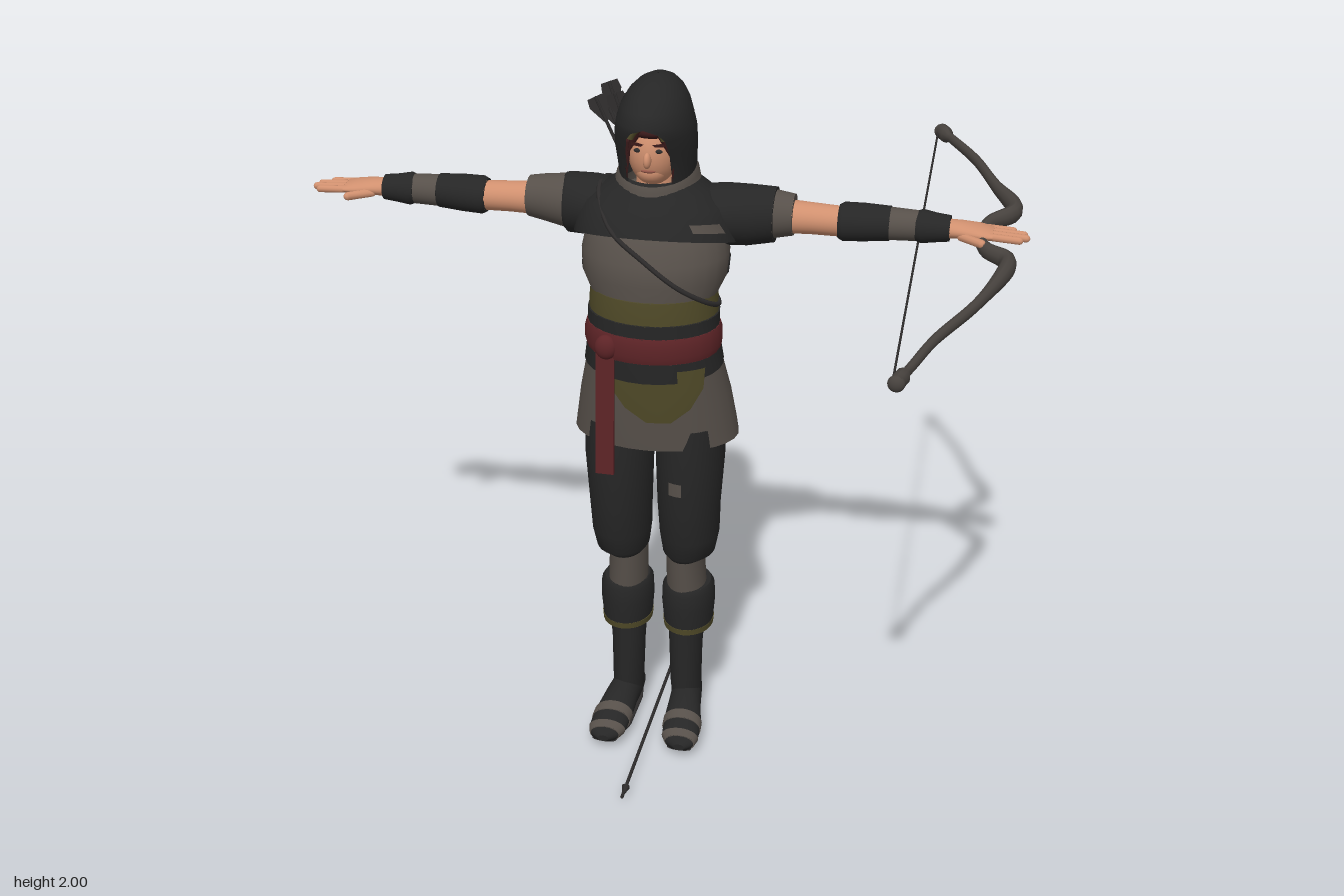
import * as THREE from 'three';
import { mergeVertices } from 'three/addons/utils/BufferGeometryUtils.js';

const mat = (name, color) => {
  const m = new THREE.MeshStandardMaterial({ color, side: THREE.DoubleSide });
  m.name = name;
  return m;
};

// Rings [y, cx, cz, rx, rz, tilt, a0, a1] joined into a skin; angle 0 faces +z.
function loft(rows, cap = true, n = 28) {
  const rings = [...rows].sort((a, b) => a[0] - b[0]);
  const pos = [], idx = [], w = n + 1;
  for (const [y, cx, cz, rx, rz, tilt = 0, a0 = 0, a1 = Math.PI * 2] of rings)
    for (let j = 0; j <= n; j++) {
      const a = a0 + (a1 - a0) * j / n, dz = rz * Math.cos(a);
      pos.push(cx + rx * Math.sin(a), y + tilt * dz, cz + dz);
    }
  for (let i = 0; i < rings.length - 1; i++)
    for (let j = 0; j < n; j++) {
      const a = i * w + j, c = a + w;
      idx.push(a, a + 1, c, a + 1, c + 1, c);
    }
  if (cap) [0, rings.length - 1].forEach((r, top) => {
    const [y, cx, cz] = rings[r], c = pos.length / 3;
    // lift the centre a hair so that the cap keeps its own rim
    pos.push(cx, y, cz);
    for (let j = 0; j <= n; j++) {
      const k = (r * w + j) * 3;
      pos.push(pos[k], pos[k + 1] + (top ? 2e-4 : -2e-4), pos[k + 2]);
    }
    for (let j = 1; j <= n; j++) top ? idx.push(c, c + j, c + j + 1) : idx.push(c, c + j + 1, c + j);
  });
  let g = new THREE.BufferGeometry();
  g.setAttribute('position', new THREE.Float32BufferAttribute(pos, 3));
  g.setIndex(idx);
  g = mergeVertices(g, 1e-5);
  g.computeVertexNormals();
  return g;
}

// Skin along x from rows [x, cy, cz, ry, rz]
const armLoft = rows => loft(rows.map(([x, cy, cz, ry, rz]) => [x, -cy, cz, ry, rz])).rotateZ(-Math.PI / 2);
// Skin along z from rows [z, cx, cy, rx, ry]
const footLoft = rows => loft(rows.map(([z, cx, cy, rx, ry]) => [z, cx, -cy, rx, ry])).rotateX(Math.PI / 2);

function mirrored(g) {
  const m = g.clone().scale(-1, 1, 1), ix = m.index.array;
  for (let i = 0; i < ix.length; i += 3) [ix[i], ix[i + 1]] = [ix[i + 1], ix[i]];
  m.computeVertexNormals();
  return m;
}

export function createModel() {
  const root = new THREE.Group();
  const black = mat('black cloth', 0x262626), grey = mat('grey cloth', 0x57504a), skin = mat('skin', 0xd0906f),
    olive = mat('olive cloth', 0x504a28), red = mat('red sash', 0x5e2427), wood = mat('bow wood', 0x47423e),
    quiverMat = mat('quiver leather', 0x57503a), dark = mat('dark arrow', 0x2e2c2c), hairMat = mat('dark red hair', 0x3a1a1a),
    lipMat = mat('lips', 0x9a5a4c);
  const V = (x, y, z) => new THREE.Vector3(x, y, z);
  const add = (name, g, m, parent = root) => {
    const o = new THREE.Mesh(g, m);
    o.name = name;
    parent.add(o);
    return o;
  };
  const pair = (name, g, m) => { add(name + 'Left', g, m); add(name + 'Right', mirrored(g), m); };
  const ball = (name, m, p, s) => add(name, new THREE.SphereGeometry(1, 24, 16).scale(...s).translate(...p), m);

  // Torso, cape and collar
  add('tunic', loft([[1.68, 0, .05, .1, .09], [1.6, 0, .06, .19, .14], [1.52, 0, .075, .205, .165], [1.46, 0, .09, .2, .155],
    [1.4, 0, .1, .172, .14], [1.34, 0, .1, .17, .14]]), grey);
  add('cape', loft([[1.73, 0, .05, .09, .11], [1.69, 0, .05, .15, .135, .05], [1.65, 0, .055, .2, .152, .1],
    [1.6, 0, .06, .222, .17, .2], [1.55, 0, .068, .228, .178, .3]], false), black);
  add('collar', loft([[1.65, 0, .045, .15, .145], [1.69, 0, .045, .12, .14, -.1], [1.73, 0, .048, .112, .134, -.15],
    [1.745, 0, .05, .104, .126, -.15]], false), grey);
  [[.55, 1.0], [2.3, 2.75], [3.9, 4.3]].forEach(([a, b]) => add('capePatch', loft([[1.61, 0, .06, .225, .173, .2, a, b],
    [1.58, 0, .063, .229, .178, .25, a + .05, b + .1]], false, 8), grey));
  [1.7, 4.2].forEach(a => add('tunicPatch', loft([[1.5, 0, .08, .208, .166, 0, a + .1, a + .45],
    [1.46, 0, .09, .204, .159, 0, a, a + .55], [1.42, 0, .097, .186, .149, 0, a + .15, a + .35]], false, 8), black));

  // Waist wraps and skirt
  add('waistBand', loft([[1.42, 0, .1, .176, .146], [1.38, 0, .1, .18, .149], [1.34, 0, .1, .18, .148]]), olive);
  add('waistWrap', loft([[1.355, 0, .102, .184, .151], [1.28, 0, .105, .184, .148], [1.2, 0, .1, .196, .148, -.12]]), black);
  add('sash', loft([[1.318, 0, .105, .186, .152], [1.3, 0, .105, .192, .158], [1.265, 0, .105, .192, .158], [1.245, 0, .105, .187, .152]]), red);
  add('sashTail', new THREE.BoxGeometry(.052, .4, .01).rotateZ(-.015).translate(-.11, 1.09, .237), red);
  ball('sashKnot', red, [-.105, 1.28, .238], [.032, .036, .022]);
  add('skirt', loft([[1.23, 0, .098, .186, .138], [1.1, 0, .075, .214, .155], [1.0, 0, .062, .23, .161], [.965, 0, .06, .235, .16]]), grey);
  add('frontApron', loft([[1.22, 0, .1, .198, .148, 0, -.6, .95], [1.16, 0, .09, .21, .155, 0, -.5, .85],
    [1.1, 0, .077, .221, .163, 0, -.25, .6], [1.06, 0, .07, .226, .166, 0, .02, .33]], false), olive);
  // Back apron with an olive border showing around it
  const apron = (name, grow, half, bottom, m) => add(name, loft([[1.22, .09, .192, .145], [1.1, .075, .216, .163], [.97, .06, .235, .165],
    [.9, .06, .235, .155], [bottom, .06, .235, .145]].map(([y, cz, rx, rz], i) => [y, 0, cz, rx + grow, rz + grow, 0,
    Math.PI - half * (i === 4 ? .85 : 1), Math.PI + half * (i === 4 ? .85 : 1)]), false), m);
  apron('backApronBorder', 0, .68, .83, olive);
  apron('backApron', .004, .63, .842, black);

  // Legs, boots and feet
  pair('trouserLeg', loft([[1.02, .105, .085, .095, .115], [.9, .103, .09, .098, .118], [.75, .1, .09, .09, .112],
    [.65, .1, .08, .086, .104], [.59, .098, .075, .076, .096], [.57, .09, .07, .055, .08]]), black);
  add('trouserPatch', loft([[.86, .102, .09, .1, .12, 0, -.42, -.02], [.82, .102, .09, .099, .12, 0, -.42, -.02]], false, 8), grey);
  pair('knee', loft([[.62, .088, .065, .06, .078], [.55, .085, .06, .056, .077], [.44, .088, .055, .058, .075]]), grey);
  pair('bootCuff', loft([[.465, .092, .048, .066, .082], [.45, .092, .048, .076, .092], [.4, .092, .048, .078, .094],
    [.33, .092, .046, .072, .09]]), black);
  pair('cuffTrim', loft([[.338, .092, .046, .075, .092], [.32, .092, .046, .073, .09]]), olive);
  pair('bootShaft', loft([[.36, .088, .055, .056, .068], [.25, .087, .06, .049, .06], [.13, .088, .062, .046, .062],
    [.06, .09, .055, .044, .06]]), black);
  pair('foot', footLoft([[-.012, .088, .065, .02, .03], [0, .088, .066, .038, .045], [.05, .09, .075, .045, .055], [.12, .097, .072, .048, .054],
    [.2, .105, .058, .056, .04], [.26, .11, .048, .054, .03], [.29, .113, .042, .04, .022], [.302, .114, .038, .016, .01]]), black);
  pair('sole', footLoft([[-.005, .088, .028, .03, .01], [.05, .09, .028, .042, .01], [.2, .105, .028, .054, .01], [.29, .113, .028, .036, .009]]), dark);
  pair('toeBand', footLoft([[.195, .105, .059, .058, .043], [.225, .107, .054, .058, .038]]), grey);
  pair('toeCap', footLoft([[.262, .11, .048, .055, .031], [.285, .113, .043, .045, .026]]), grey);

  // Arms and hands
  pair('sleeve', armLoft([[.15, 1.61, .04, .07, .08], [.24, 1.615, .025, .078, .078], [.32, 1.617, .015, .066, .066], [.37, 1.617, .012, .057, .057]]), grey);
  const shoulder = end => armLoft([[.1, 1.615, .045, .075, .1], [.18, 1.615, .035, .084, .094], [.25, 1.613, .025, .084, .083], [end, 1.615, .015, .076, .075]]);
  add('shoulderCoverLeft', shoulder(.32), black);
  add('shoulderCoverRight', mirrored(shoulder(.265)), black);
  pair('upperArm', armLoft([[.34, 1.612, .012, .047, .047], [.42, 1.61, .01, .043, .045], [.51, 1.607, .01, .041, .043]]), skin);
  pair('elbowBracer', armLoft([[.492, 1.608, .01, .046, .048], [.505, 1.608, .01, .053, .055], [.56, 1.61, .01, .052, .053], [.63, 1.612, .01, .047, .048]]), black);
  pair('forearmWrap', armLoft([[.62, 1.612, .01, .045, .046], [.715, 1.611, .01, .041, .042]]), grey);
  pair('wristGuard', armLoft([[.7, 1.611, .01, .04, .044], [.715, 1.611, .01, .046, .048], [.75, 1.61, .01, .04, .042], [.79, 1.61, .01, .035, .038]]), black);
  pair('palm', armLoft([[.77, 1.61, .01, .026, .03], [.82, 1.61, .01, .023, .04], [.87, 1.607, .008, .019, .047], [.905, 1.604, .006, .012, .044]]), skin);
  [[-.032, .955], [-.009, .985], [.015, .992], [.037, .975]].forEach(([z, end]) =>
    pair('finger', new THREE.CapsuleGeometry(.0105, end - .89, 4, 10).rotateZ(Math.PI / 2 - .06).translate((end + .89) / 2, 1.602, z), skin));
  pair('thumb', new THREE.CapsuleGeometry(.012, .07, 4, 10).rotateZ(-Math.PI / 2).rotateY(-.65).translate(.85, 1.6, .06), skin);

  // Head and hood
  ball('head', skin, [0, 1.81, .1], [.07, .098, .083]);
  ball('jaw', skin, [0, 1.762, .125], [.045, .04, .05]);
  ball('nose', skin, [0, 1.803, .186], [.011, .022, .016]);
  ball('mouth', lipMat, [0, 1.77, .172], [.02, .006, .006]);
  add('neck', new THREE.CylinderGeometry(.05, .06, .14, 20).translate(0, 1.7, .07), skin);
  for (const s of [-1, 1]) {
    ball('eye', dark, [s * .027, 1.826, .173], [.012, .006, .005]);
    add('brow', new THREE.BoxGeometry(.034, .007, .006).rotateZ(s * .12).translate(s * .028, 1.842, .173), hairMat);
    add('hairLock', new THREE.ConeGeometry(.017, .08, 8).rotateZ(Math.PI + s * .35).translate(s * .045, 1.845, .165), hairMat);
    add('sideLock', new THREE.ConeGeometry(.013, .11, 8).rotateZ(Math.PI).translate(s * .062, 1.79, .152), hairMat);
  }
  ball('fringe', hairMat, [0, 1.872, .135], [.055, .022, .045]);
  add('headband', new THREE.TorusGeometry(.05, .011, 8, 20, Math.PI * .8).rotateZ(Math.PI * .1).translate(0, 1.847, .186), olive);
  add('hood', loft([[1.7, 0, .05, .098, .122, 0, .62], [1.76, 0, .05, .106, .125, 0, .6], [1.82, 0, .065, .11, .137, 0, .57],
    [1.865, 0, .073, .108, .149, 0, .5], [1.885, 0, .077, .104, .152, 0, .36], [1.9, 0, .08, .101, .152, 0, 0],
    [1.935, 0, .075, .09, .143], [1.965, 0, .063, .072, .115], [1.985, 0, .052, .05, .08], [1.996, 0, .046, .026, .045], [2, 0, .045, .002, .003]]
    .map(r => [...r.slice(0, 5), 0, r[6] || 0, Math.PI * 2 - (r[6] || 0)]), false, 36), black);

  // Chest strap looping over the shoulder and around the back
  const strap = new THREE.CatmullRomCurve3([V(-.15, 1.68, .11), V(-.09, 1.61, .222), V(0, 1.54, .243), V(.09, 1.47, .238), V(.165, 1.41, .18),
    V(.182, 1.38, .1), V(.1, 1.4, -.045), V(.03, 1.44, -.09), V(-.08, 1.58, -.13), V(-.15, 1.68, -.02)], true);
  add('chestStrap', new THREE.TubeGeometry(strap, 80, .007, 6, true), dark);

  // Arrows point down their own -y, with crossed feathers at the far end
  const feather = new THREE.Shape([[-.006, 0], [-.028, .05], [-.024, .075], [.024, .075], [.028, .05], [.006, 0]].map(p => new THREE.Vector2(...p)));
  function arrow(name, from, to, scale) {
    const g = new THREE.Group(), len = from.distanceTo(to);
    g.name = name;
    add('arrowShaft', new THREE.CylinderGeometry(.005, .005, len, 8).translate(0, len / 2, 0), dark, g);
    add('arrowHead', new THREE.ConeGeometry(.012, .05, 6).rotateX(Math.PI).translate(0, .025, 0), dark, g);
    for (const a of [0, Math.PI / 2])
      add('feather', new THREE.ShapeGeometry(feather).scale(scale, 1, 1).rotateY(a + .3).translate(0, len - .075, 0), dark, g);
    g.position.copy(from);
    g.quaternion.setFromUnitVectors(V(0, 1, 0), to.clone().sub(from).normalize());
    root.add(g);
  }
  arrow('groundArrow', V(0, .022, .55), V(0, .022, -.27), .8);
  [[-.22, 1.86, -.15], [-.185, 1.9, -.17], [-.16, 1.88, -.13], [-.13, 1.87, -.18], [-.2, 1.84, -.19]].forEach((p, i) =>
    arrow('quiverArrow', V(-.06 + .006 * i, 1.52, -.135), V(...p), 1));

  // Quiver slung across the back
  const quiver = new THREE.Group();
  quiver.name = 'quiver';
  const qProfile = [[0, 0], [.024, 0], [.03, .015], [.036, .3], [.036, .335], [.03, .335], [.028, .28], [0, .28]].map(p => new THREE.Vector2(...p));
  add('quiverBody', new THREE.LatheGeometry(qProfile, 20), quiverMat, quiver);
  [.06, .31].forEach(y => add('quiverBand', new THREE.CylinderGeometry(.038, .037, .02, 20, 1, true).translate(0, y, 0), dark, quiver));
  quiver.position.set(.05, 1.315, -.142);
  quiver.quaternion.setFromUnitVectors(V(0, 1, 0), V(-.13, .3, .01).normalize());
  root.add(quiver);

  // Recurve bow in the left hand, its limbs thickened by a rule along the curve
  const path = new THREE.CatmullRomCurve3([V(.7, 1.63, -.74), V(.745, 1.628, -.66), V(.82, 1.625, -.51), V(.89, 1.618, -.32), V(.95, 1.61, -.18),
    V(.945, 1.607, -.14), V(.89, 1.6, -.08), V(.872, 1.592, 0), V(.89, 1.585, .08), V(.95, 1.578, .13), V(.952, 1.572, .17),
    V(.89, 1.545, .36), V(.8, 1.515, .54), V(.76, 1.495, .65), V(.73, 1.482, .735)]);
  const segs = 90, sides = 10, bow = new THREE.TubeGeometry(path, segs, .015, sides), bp = bow.attributes.position;
  for (let i = 0; i <= segs; i++) {
    const u = i / segs, c = path.getPointAt(u), d = Math.abs(u - .5) * 2;
    const k = d > .94 ? 1.3 : .75 + .5 * Math.exp(-(((d - .25) / .14) ** 2)) + .3 * (1 - d);
    for (let j = 0; j <= sides; j++) {
      const n = i * (sides + 1) + j, p = V(0, 0, 0).fromBufferAttribute(bp, n).sub(c).multiplyScalar(k);
      p.y *= 1.25;
      bp.setXYZ(n, c.x + p.x, c.y + p.y, c.z + p.z);
    }
  }
  bow.computeVertexNormals();
  add('bow', bow, wood);
  [[.7, 1.63, -.74], [.73, 1.482, .735]].forEach(p => ball('bowTip', wood, p, [.022, .022, .016]));
  add('bowString', new THREE.TubeGeometry(new THREE.LineCurve3(V(.69, 1.63, -.735), V(.72, 1.482, .725)), 1, .003, 6), dark);
  return root;
}
